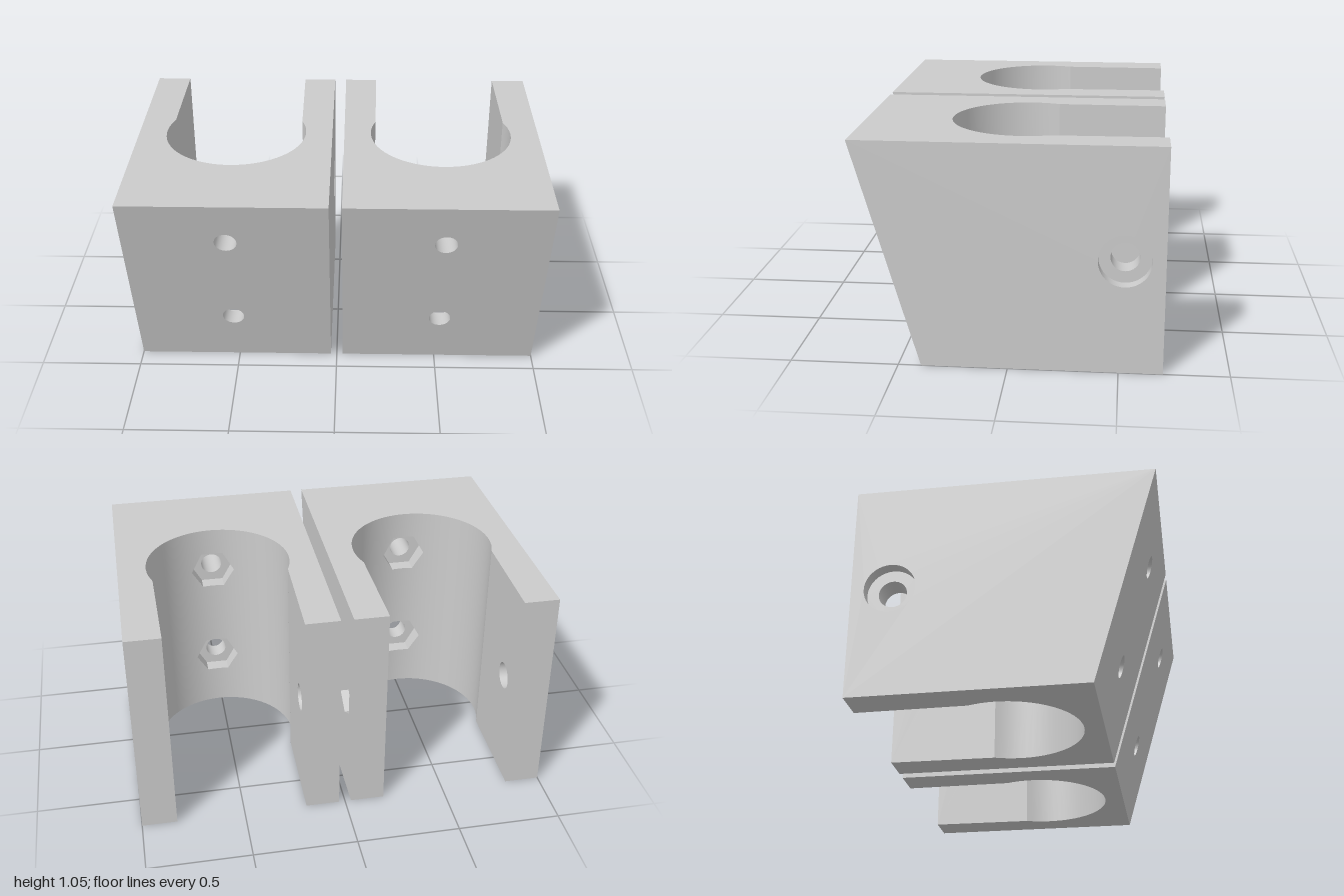
import * as THREE from 'three';
import { mergeVertices } from 'three/addons/utils/BufferGeometryUtils.js';

const X0 = 0.03, X1 = 1, H = 1.05, BACK = -0.7;         // block limits
const CX = 0.5125, CZ = -0.05, R = 0.35;                // bore
const NECK = -0.18, NECK_HALF = 0.325, SLOT_HALF = 0.318; // slot behind the bore
const SCREW_Y = [0.295, 0.82], SCREW_R = 0.053, NUT_R = 0.11, NUT_Z = 0.37;
const BOLT = [-0.52, 0.53], BOLT_R = 0.066, SINK_R = 0.12, SINK_DEPTH = 0.06;

const frontZ = (y) => 0.395 + (0.305 * y) / H;
const boreZ = (x) => CZ + Math.sqrt(R * R - (x - CX) ** 2);
const slotHalf = (z) => SLOT_HALF + (NECK_HALF - SLOT_HALF) * (z - BACK) / (NECK - BACK);
const material = new THREE.MeshStandardMaterial({ color: 0xcccccc, side: THREE.DoubleSide });
const V2 = (x, y) => new THREE.Vector2(x, y);

// Regular outline with n sides, each side cut into `cuts` pieces
function outline(cx, cy, r, n, cuts = 1, turn = 0) {
  const pts = [];
  const corner = (i) => V2(cx + r * Math.cos(turn + i * 2 * Math.PI / n), cy + r * Math.sin(turn + i * 2 * Math.PI / n));
  for (let i = 0; i < n; i++)
    for (let k = 0; k < cuts; k++) pts.push(corner(i).lerp(corner(i + 1), k / cuts));
  return pts;
}

// Flat face with holes, placed in space by map(u, v) -> [x, y, z]
function face(group, name, pts, holes, map) {
  const shape = new THREE.Shape(pts);
  shape.holes = holes.map((h) => new THREE.Path(h));
  const geo = new THREE.ShapeGeometry(shape).toNonIndexed();
  const p = geo.attributes.position;
  for (let i = 0; i < p.count; i++) p.setXYZ(i, ...map(p.getX(i), p.getY(i)));
  geo.computeVertexNormals();
  addMesh(group, name, geo);
}

// Surface from a list of quads [a, b, c, d]
function quads(group, name, list, smooth) {
  let geo = new THREE.BufferGeometry();
  const pos = list.flatMap(([a, b, c, d]) => [a, b, c, a, c, d].flat());
  geo.setAttribute('position', new THREE.Float32BufferAttribute(pos, 3));
  if (smooth) geo = mergeVertices(geo, 1e-5);
  geo.computeVertexNormals();
  addMesh(group, name, geo);
}

// Wall of a hole, lofted along one outline between two maps
function holeWall(group, name, pts, from, to, smooth) {
  quads(group, name, pts.map((p, i) => {
    const q = pts[(i + 1) % pts.length];
    return [from(p.x, p.y), from(q.x, q.y), to(q.x, q.y), to(p.x, p.y)];
  }), smooth);
}

function addMesh(group, name, geo) {
  const mesh = new THREE.Mesh(geo, material);
  mesh.name = name;
  group.add(mesh);
}

function clampBlock() {
  const g = new THREE.Group();
  const thetaMax = Math.acos((NECK - CZ) / R);

  // Bore angles: fine steps around the nut pockets, then even steps
  const angles = [];
  const inner = Math.asin(NUT_R / R);
  for (let k = -4; k <= 4; k++) angles.push(Math.asin((k / 4) * NUT_R / R));
  for (let k = 1; k <= 18; k++) {
    const t = inner + (thetaMax - inner) * k / 18;
    angles.push(t);
    angles.unshift(-t);
  }
  const arc = angles.map((t) => V2(CX + R * Math.sin(t), CZ + R * Math.cos(t)));

  // Top and bottom faces
  for (const [name, y] of [['topFace', H], ['bottomFace', 0]]) {
    const plan = [V2(X0, BACK), V2(X0, frontZ(y)), V2(X1, frontZ(y)), V2(X1, BACK), V2(CX + SLOT_HALF, BACK),
      ...[...arc].reverse(), V2(CX - SLOT_HALF, BACK)];
    face(g, name, plan, [], (x, z) => [x, y, z]);
  }

  // Sloping front with two screw holes
  const screws = SCREW_Y.map((y) => outline(CX, y, SCREW_R, 32));
  face(g, 'frontFace', [V2(X0, 0), V2(X1, 0), V2(X1, H), V2(X0, H)], screws, (x, y) => [x, y, frontZ(y)]);

  // Bore wall, in bands that leave the hexagonal nut pockets open
  const hexHalf = (x) => Math.max(0, Math.min(NUT_R * Math.sqrt(3) / 2, Math.sqrt(3) * (NUT_R - Math.abs(x - CX))));
  const bands = (x) => [0, SCREW_Y[0] - hexHalf(x), SCREW_Y[0] + hexHalf(x), SCREW_Y[1] - hexHalf(x), SCREW_Y[1] + hexHalf(x), H];
  const wall = [];
  for (let i = 0; i + 1 < arc.length; i++) {
    const a = arc[i], b = arc[i + 1], ya = bands(a.x), yb = bands(b.x);
    for (let k = 0; k < 6; k += 2)
      wall.push([[a.x, ya[k], a.y], [b.x, yb[k], b.y], [b.x, yb[k + 1], b.y], [a.x, ya[k + 1], a.y]]);
  }
  quads(g, 'boreWall', wall, true);

  // Nut pockets and screw holes
  SCREW_Y.forEach((y, i) => {
    const floor = (x, v) => [x, v, NUT_Z];
    const hex = outline(CX, y, NUT_R, 6, 4);
    holeWall(g, 'nutPocketWall', hex, (x, v) => [x, v, boreZ(x)], floor, false);
    face(g, 'nutPocketFloor', hex, [screws[i]], floor);
    holeWall(g, 'screwHole', screws[i], floor, (x, v) => [x, v, frontZ(v)], true);
  });

  // Legs: outer one has a round countersink, inner one a hexagonal nut recess
  const bolt = outline(...BOLT, BOLT_R, 32);
  const side = [V2(BACK, 0), V2(frontZ(0), 0), V2(frontZ(H), H), V2(BACK, H)];
  const slotSide = [V2(BACK, 0), V2(NECK, 0), V2(NECK, H), V2(BACK, H)];
  const legs = [
    { name: 'outerLeg', x: X1, s: 1, recess: outline(...BOLT, SINK_R, 40), smooth: true },
    { name: 'innerLeg', x: X0, s: -1, recess: outline(...BOLT, 0.115, 6, 1, Math.PI / 6), smooth: false },
  ];
  for (const { name, x, s, recess, smooth } of legs) {
    const outside = (z, y) => [x, y, z];
    const floor = (z, y) => [x - s * SINK_DEPTH, y, z];
    const slot = (z, y) => [CX + s * slotHalf(z), y, z];
    face(g, name + 'Side', side, [recess], outside);
    holeWall(g, name + 'RecessWall', recess, outside, floor, smooth);
    face(g, name + 'RecessFloor', recess, [bolt], floor);
    holeWall(g, name + 'BoltHole', bolt, floor, slot, true);
    face(g, name + 'SlotWall', slotSide, [bolt], slot);
    const xi = CX + s * SLOT_HALF;
    face(g, name + 'End', [V2(xi, 0), V2(x, 0), V2(x, H), V2(xi, H)], [], (u, v) => [u, v, BACK]);
  }
  return g;
}

export function createModel() {
  const model = new THREE.Group();
  model.name = 'clampBlockPair';
  for (const [name, s] of [['leftBlock', 1], ['rightBlock', -1]]) {
    const block = clampBlock();
    block.name = name;
    block.scale.x = s;
    model.add(block);
  }
  return model;
}
